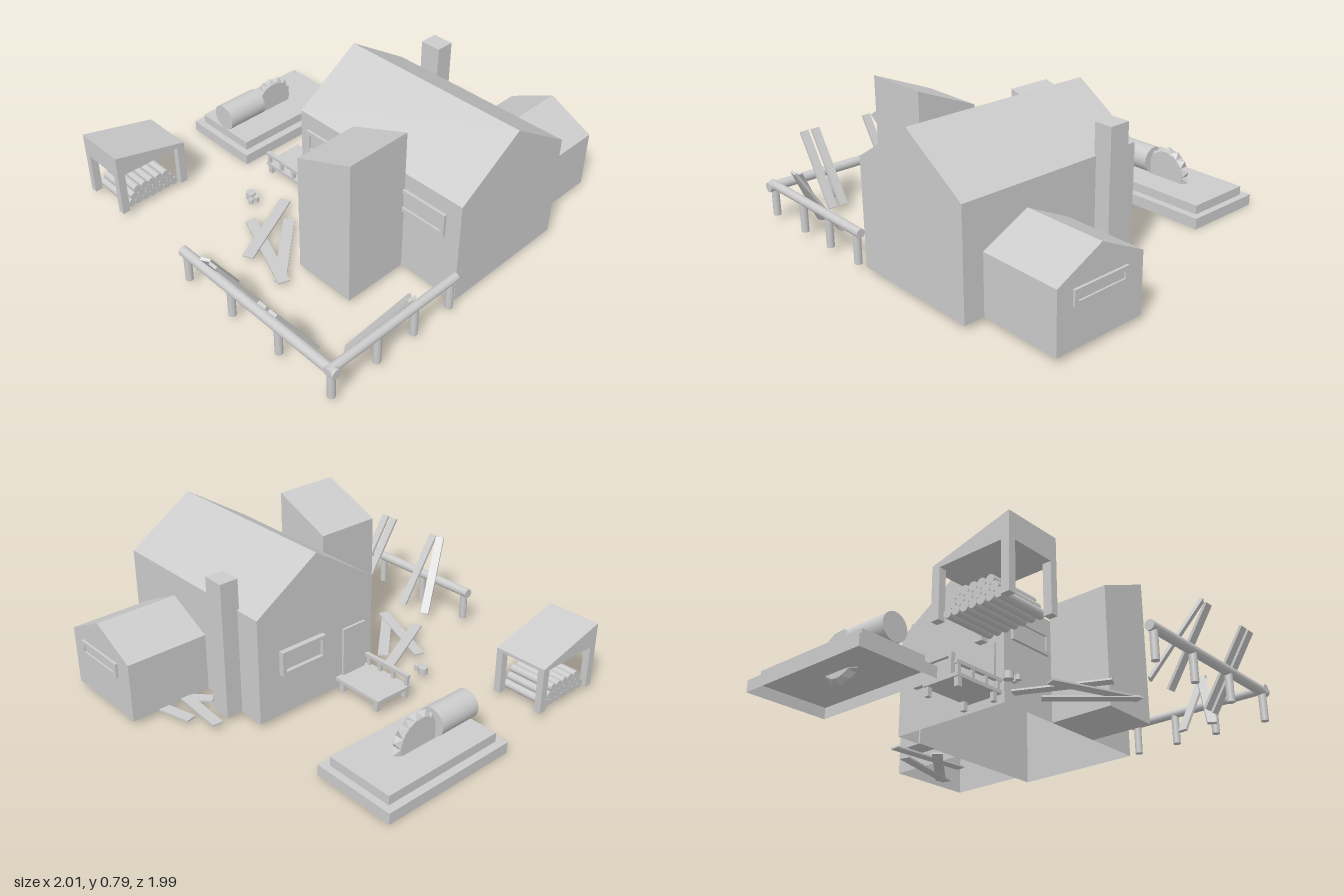
import * as THREE from 'three';

const mat = new THREE.MeshStandardMaterial({ color: 0xcccccc });
const flat = new THREE.MeshStandardMaterial({ color: 0xcccccc, flatShading: true, side: THREE.DoubleSide });

export function createModel() {
  const root = new THREE.Group();
  const G = 0.025; // ground level of the buildings

  const add = (name, geo, m = mat, parent = root) => {
    const mesh = new THREE.Mesh(geo, m);
    mesh.name = name;
    parent.add(mesh);
    return mesh;
  };
  const group = (name) => {
    const g = new THREE.Group();
    g.name = name;
    root.add(g);
    return g;
  };
  const box = (name, x0, x1, y0, y1, z0, z1, parent = root) => {
    const m = add(name, new THREE.BoxGeometry(x1 - x0, y1 - y0, z1 - z0), mat, parent);
    m.position.set((x0 + x1) / 2, (y0 + y1) / 2, (z0 + z1) / 2);
    return m;
  };
  // beam between two points, square or round
  const beam = (name, a, b, w, t, parent, round) => {
    const A = new THREE.Vector3(...a), B = new THREE.Vector3(...b);
    const len = A.distanceTo(B);
    const geo = round
      ? new THREE.CylinderGeometry(w, w, len, t).rotateX(Math.PI / 2)
      : new THREE.BoxGeometry(w, t, len);
    const m = add(name, geo, mat, parent);
    m.position.copy(A).lerp(B, 0.5);
    m.lookAt(B);
    return m;
  };
  const prism = (pts, depth) => new THREE.ExtrudeGeometry(
    new THREE.Shape(pts.map((p) => new THREE.Vector2(...p))), { depth, bevelEnabled: false });
  // drop the downward faces so the shell is open underneath
  const openBottom = (geo) => {
    const src = geo.index ? geo.toNonIndexed() : geo;
    const p = src.attributes.position, n = src.attributes.normal, keep = [];
    for (let i = 0; i < p.count; i += 3) {
      if (n.getY(i) < -0.9) continue;
      for (let k = i; k < i + 3; k++) keep.push(p.getX(k), p.getY(k), p.getZ(k));
    }
    const out = new THREE.BufferGeometry();
    out.setAttribute('position', new THREE.Float32BufferAttribute(keep, 3));
    out.computeVertexNormals();
    return out;
  };
  const gable = (half, wall, ridge) => [[-half, G], [half, G], [half, wall], [0, ridge], [-half, wall]];

  // main house and side annex, hollow and open below
  const house = add('houseShell', openBottom(prism(gable(0.3475, 0.565, 0.79), 1)), flat);
  house.position.set(0.2125, 0, -0.12);
  const annex = add('sideAnnex', openBottom(prism(gable(0.2425, 0.325, 0.445), 0.425)), flat);
  annex.rotation.y = Math.PI / 2;
  annex.position.set(0.56, 0, 0.5325);

  // tall lean-to on the left, its roof rising towards the front
  const leanTo = add('tallLeanTo',
    prism([[-0.555, G], [-0.23, G], [-0.23, 0.65], [-0.555, 0.785]], 0.34), flat);
  leanTo.rotation.y = Math.PI / 2;
  leanTo.position.x = -0.475;

  box('chimney', 0.55, 0.645, G, 0.72, 0.02, 0.13);
  box('backDoor', -0.085, 0.055, 0.088, 0.34, -0.133, -0.11);

  // framed windows, passing through the wall
  const windowUnit = (name, w, h, d, x, y, z, turn) => {
    const g = group(name);
    const s = new THREE.Shape();
    s.moveTo(-w / 2, -h / 2).lineTo(w / 2, -h / 2).lineTo(w / 2, h / 2).lineTo(-w / 2, h / 2);
    const a = w / 2 - 0.02, b = h / 2 - 0.02;
    const hole = new THREE.Path();
    hole.moveTo(-a, -b).lineTo(-a, b).lineTo(a, b).lineTo(a, -b);
    s.holes.push(hole);
    add('windowFrame', new THREE.ExtrudeGeometry(s, { depth: d, bevelEnabled: false }).translate(0, 0, -d / 2), mat, g);
    add('windowPane', new THREE.BoxGeometry(2 * a, 2 * b, d * 0.3), mat, g);
    g.position.set(x, y, z);
    g.rotation.y = turn;
  };
  windowUnit('backWindow', 0.26, 0.125, 0.055, 0.31, 0.305, -0.12, 0);
  windowUnit('leftWindowRear', 0.27, 0.12, 0.03, -0.135, 0.42, 0.065, Math.PI / 2);
  windowUnit('leftWindowFront', 0.32, 0.12, 0.03, -0.135, 0.42, 0.64, Math.PI / 2);
  windowUnit('annexWindow', 0.305, 0.075, 0.025, 0.985, 0.258, 0.5375, Math.PI / 2);

  // back porch with one handrail
  const porch = group('backPorch');
  box('porchDeck', -0.12, 0.095, 0.07, 0.088, -0.415, -0.12, porch);
  box('porchRail', -0.12, -0.1, 0.13, 0.148, -0.415, -0.12, porch);
  for (const z of [-0.4, -0.31, -0.22, -0.14]) box('railPost', -0.118, -0.102, 0.088, 0.13, z - 0.009, z + 0.009, porch);
  for (const x of [-0.105, 0.08]) for (const z of [-0.395, -0.16])
    box('porchLeg', x - 0.012, x + 0.012, G, 0.07, z - 0.012, z + 0.012, porch);

  // saw table: stepped base, motor and toothed blade
  const saw = group('sawTable');
  const tier = add('sawBase', openBottom(new THREE.BoxGeometry(0.735, 0.057, 0.44)), flat, saw);
  tier.position.set(0.2275, 0.0285, -0.78);
  box('sawTop', -0.105, 0.56, 0.057, 0.104, -0.96, -0.6, saw);
  beam('sawMotor', [-0.105, 0.175, -0.78], [0.125, 0.175, -0.78], 0.07, 32, saw, true);
  const blade = new THREE.Group();
  blade.name = 'sawBlade';
  blade.position.set(0.225, 0.138, -0.78);
  saw.add(blade);
  add('bladeDisc', new THREE.CylinderGeometry(0.112, 0.112, 0.05, 28).rotateX(Math.PI / 2), mat, blade);
  for (let i = 0; i < 14; i++) {
    const tooth = new THREE.ConeGeometry(0.036, 0.03, 4).rotateY(Math.PI / 4).translate(0, 0.122, 0);
    add('bladeTooth', tooth, flat, blade).rotation.z = (i / 14) * Math.PI * 2;
  }

  // wood store with wedge roof and stacked logs
  const store = group('woodStore');
  add('storeRoof', prism([[-0.86, 0.25], [-0.465, 0.25], [-0.465, 0.265], [-0.86, 0.365]], 0.28), flat, store)
    .position.z = -0.927;
  for (const x of [-0.86, -0.505]) for (const z of [-0.927, -0.682])
    box('storePost', x, x + 0.04, G, 0.25, z, z + 0.035, store);
  for (let r = 0; r < 3; r++) for (let i = 0; i < 7 - r; i++) {
    const x = -0.665 + (i - (6 - r) / 2) * 0.043, y = 0.047 + r * 0.034;
    beam('log', [x, y, -0.91], [x, y, -0.665], 0.0215, 12, store, true);
  }

  // corner fence
  const fence = group('fence');
  beam('frontRail', [-0.93, 0.19, 0.89], [-0.15, 0.19, 0.89], 0.022, 16, fence, true);
  beam('leftRail', [-0.905, 0.185, -0.08], [-0.905, 0.185, 0.925], 0.025, 16, fence, true);
  const posts = [[-0.905, 0.89], [-0.64, 0.89], [-0.415, 0.89], [-0.185, 0.89],
    [-0.905, 0.57], [-0.905, 0.26], [-0.905, -0.05]];
  for (const [x, z] of posts) {
    add('fencePost', new THREE.CylinderGeometry(0.019, 0.019, 0.155, 16), mat, fence).position.set(x, 0.107, z);
  }

  // planks leaning on the fence: foot, head
  const leaning = group('leaningPlanks');
  for (const [zLow, zHigh] of [[0.11, 0.225], [0.275, 0.275], [0.588, 0.588], [0.652, 0.652]])
    beam('leaningPlank', [-0.77, 0.035, zLow], [-0.995, 0.39, zHigh], 0.045, 0.014, leaning);
  beam('leaningPlank', [-0.695, 0.035, 0.76], [-0.54, 0.385, 0.965], 0.045, 0.014, leaning);
  beam('leaningPlank', [-0.53, 0.035, 0.76], [-0.543, 0.39, 0.98], 0.045, 0.014, leaning);

  // loose planks on the ground: both ends as x, z and height
  const loose = group('loosePlanks');
  const ground = [
    [-0.63, 0.035, -0.22, -0.16, 0.042], [-0.61, 0.27, -0.44, -0.17, 0.032], [-0.62, 0.25, -0.295, -0.05, 0.028],
    [0.6, 0.195, 0.9, 0.53, 0.03], [0.715, 0.0, 0.68, 0.46, 0.036], [0.775, 0.125, 0.885, 0.56, 0.028],
  ];
  for (const [x0, z0, x1, z1, y] of ground)
    beam('groundPlank', [x0, y, z0], [x1, y - 0.004, z1], 0.055, 0.009, loose);

  // small stumps
  const stumps = group('stumps');
  for (const [x, z, r, h] of [[-0.322, -0.308, 0.024, 0.036], [-0.35, -0.275, 0.013, 0.025], [-0.322, -0.267, 0.013, 0.03]])
    add('stump', new THREE.CylinderGeometry(r, r, h, 16), mat, stumps).position.set(x, G + h / 2, z);

  return root;
}
